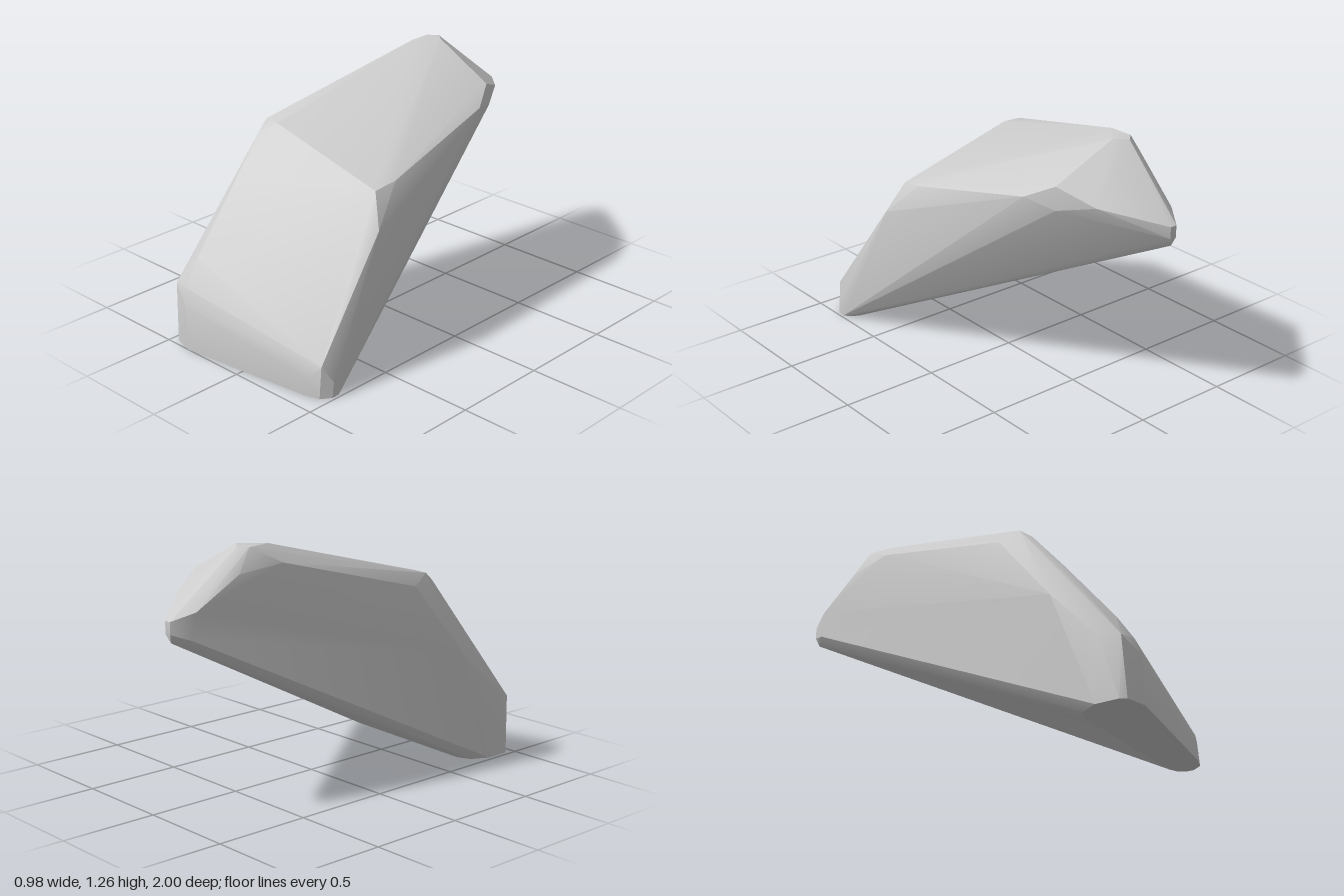
import * as THREE from 'three';
import { ConvexGeometry } from 'three/addons/geometries/ConvexGeometry.js';
import { toCreasedNormals } from 'three/addons/utils/BufferGeometryUtils.js';

// Corner points of each region of the boulder, as [x, y, z]
const foot = [
  [-0.35, 0, 1], [-0.46, 0, 0.97], [-0.478, 0, 0.94], [-0.478, 0, 0.82], [-0.43, 0, 0.73], [-0.36, 0, 0.7],
  [0.42, 0, 0.745], [0.46, 0, 0.765], [0.485, 0, 0.8], [0.485, 0, 0.84], [0.45, 0, 0.89], [0.38, 0, 0.912],
];
const frontLip = [
  [-0.36, 0.24, 1], [-0.38, 0.32, 0.975], [-0.47, 0.31, 0.955], [-0.49, 0.32, 0.85],
  [0.38, 0.09, 0.912], [0.45, 0.16, 0.875], [0.485, 0.08, 0.83],
];
const shoulders = [
  [-0.38, 0.45, 0.89], [-0.38, 0.78, 0.63], [-0.385, 0.985, 0.46], [-0.4, 1.03, 0.4], [-0.31, 1.03, 0.41],
  [-0.43, 0.98, 0.3], [-0.475, 0.6, 0.6],
  [0.34, 0.86, 0.4], [0.355, 0.88, 0.28], [0.42, 0.7, 0.46],
];
const crest = [
  [-0.235, 1.265, -0.48], [-0.245, 1.262, -0.6], [-0.2, 1.262, -0.64], [-0.14, 1.265, -0.59],
  [-0.31, 1.18, -0.45], [-0.27, 1.15, -0.68],
  [0.19, 1.105, -0.57], [0.265, 1.03, -0.43], [0.2, 0.99, -0.58], [0.1, 1.03, -0.75],
];
const tail = [
  [-0.165, 0.96, -1], [-0.13, 0.96, -1], [-0.165, 0.9, -1], [-0.13, 0.9, -1],
  [-0.15, 0.857, -0.985], [-0.23, 1.0, -0.9], [-0.22, 0.87, -0.92],
];

export function createModel() {
  const group = new THREE.Group();
  const points = [...foot, ...frontLip, ...shoulders, ...crest, ...tail].map((p) => new THREE.Vector3(...p));

  // One solid convex stone, soft across shallow edges and crisp at the ridges
  const geometry = toCreasedNormals(new ConvexGeometry(points), 0.45);
  const rock = new THREE.Mesh(geometry, new THREE.MeshStandardMaterial({ color: 0xcccccc }));
  rock.name = 'rock';
  group.add(rock);
  return group;
}
